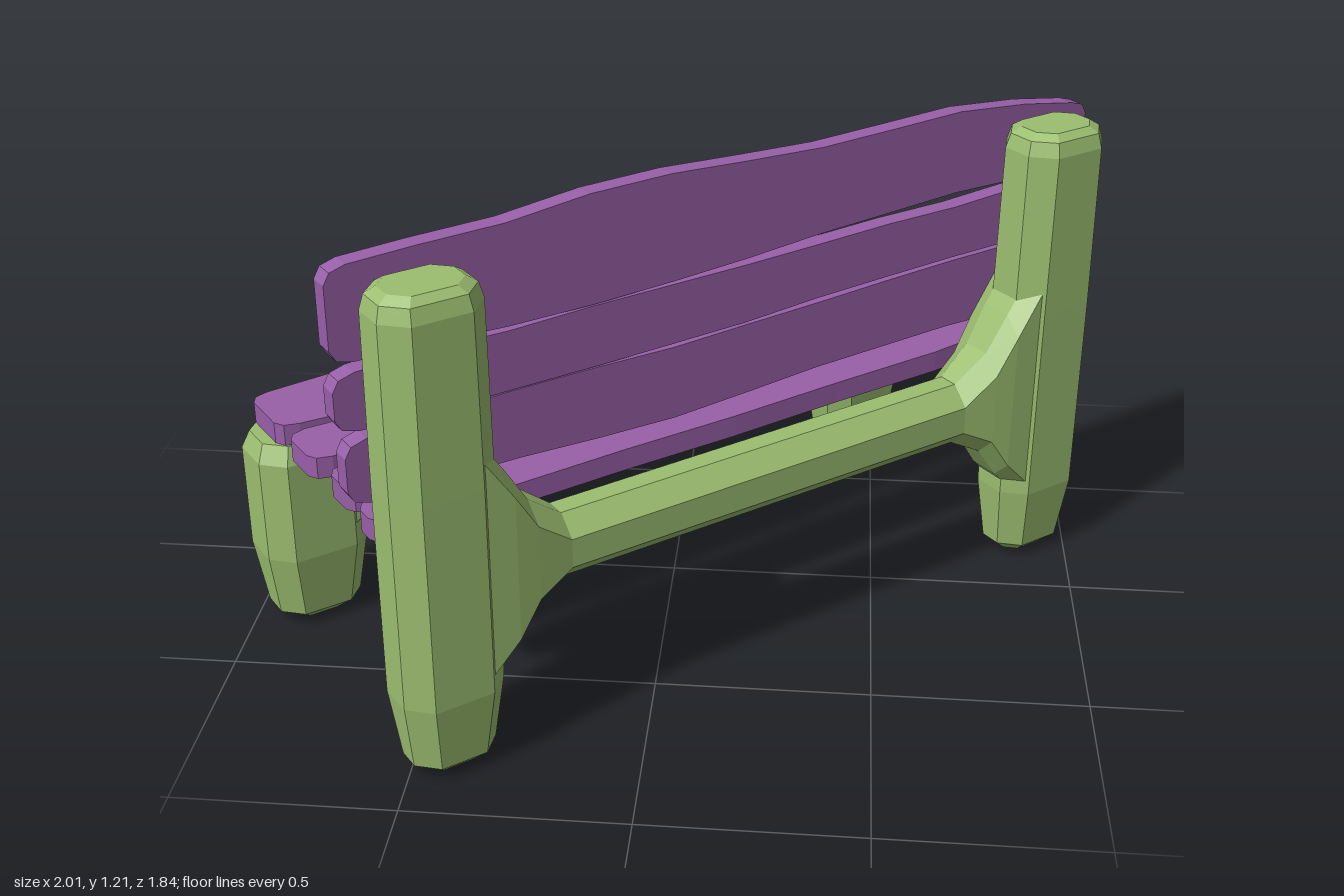
import * as THREE from 'three';

const green = new THREE.MeshStandardMaterial({ color: 0x9cbe70, flatShading: true });
const purple = new THREE.MeshStandardMaterial({ color: 0x9860a8, flatShading: true });

// Chamfered eight-sided loft along x; each section is [x, yLow, yHigh, halfDepth, chamfer]
function loft(sections) {
  const pos = [], idx = [], n = 8;
  for (const [x, lo, hi, d, c] of sections) {
    const ring = [[hi, -d + c], [hi, d - c], [hi - c, d], [lo + c, d],
      [lo, d - c], [lo, -d + c], [lo + c, -d], [hi - c, -d]];
    for (const [y, z] of ring) pos.push(x, y, z);
  }
  const last = (sections.length - 1) * n;
  for (let s = 0; s < last; s += n) {
    for (let i = 0; i < n; i++) {
      const a = s + i, b = s + (i + 1) % n;
      idx.push(a, b, b + n, a, b + n, a + n);
    }
  }
  for (let i = 1; i < n - 1; i++) idx.push(0, i + 1, i, last, last + i, last + i + 1);
  const g = new THREE.BufferGeometry();
  g.setAttribute('position', new THREE.Float32BufferAttribute(pos, 3));
  g.setIndex(idx);
  const flat = g.toNonIndexed();
  flat.computeVertexNormals();
  return flat;
}

// Upright post from [height, halfWidth, halfDepth, chamfer]
const post = (rows) => loft(rows.map(([y, w, d, c]) => [y, -w, w, d, c])).rotateZ(Math.PI / 2);

// Beam with both ends flared; rows run from the end inwards as [x, yLow, yHigh, halfDepth]
function beam(rows) {
  const left = rows.map(([x, lo, hi, d]) => [-x, lo, hi, d, 0.045]);
  const right = rows.map(([x, lo, hi, d]) => [x, lo, hi, d, 0.045]).reverse();
  return loft([...left, ...right]);
}

// Rough-cut board: upper and lower edges sampled at even steps between x0 and x1
function board(x0, x1, upper, lower, thickness) {
  const pts = [];
  const edge = (ys) => ys.map((y, i) => [x0 + (x1 - x0) * i / (ys.length - 1), y]);
  const up = edge(upper), low = edge(lower);
  const cut = 0.035;
  // clipped corners
  const clip = (e, sign) => {
    const a = e[0], b = e[e.length - 1];
    return [[a[0], a[1] + sign * cut], [a[0] + cut * 0.4, a[1] + sign * cut * 0.3], [a[0] + cut * 1.4, a[1]],
      ...e.slice(1, -1),
      [b[0] - cut * 1.4, b[1]], [b[0] - cut * 0.4, b[1] + sign * cut * 0.3], [b[0], b[1] + sign * cut]];
  };
  pts.push(...clip(low, 1), ...clip(up, -1).reverse());
  const shape = new THREE.Shape(pts.map(([x, y]) => new THREE.Vector2(x, y)));
  return new THREE.ExtrudeGeometry(shape, { depth: thickness, bevelEnabled: false });
}

export function createModel() {
  const model = new THREE.Group();
  model.name = 'bench';
  const bench = new THREE.Group();
  bench.name = 'benchBody';
  bench.rotation.y = 0.667; // the bench stands diagonally, its seat edge towards -z
  model.add(bench);

  const add = (name, geometry, material, x = 0, y = 0, z = 0) => {
    const mesh = new THREE.Mesh(geometry, material);
    mesh.name = name;
    mesh.position.set(x, y, z);
    bench.add(mesh);
  };

  // Posts and legs
  const backZ = 0.374, frontZ = -0.348;
  for (const [side, x] of [['left', 0.833], ['right', -0.833]]) {
    add(side + 'BackPost', post([
      [0, 0.06, 0.035, 0.025], [0.035, 0.1, 0.072, 0.045], [0.2, 0.12, 0.092, 0.05],
      [0.7, 0.12, 0.092, 0.05], [1.1, 0.117, 0.09, 0.05], [1.135, 0.108, 0.08, 0.045], [1.15, 0.085, 0.06, 0.035],
    ]), green, x, 0, backZ);
    add(side + 'FrontLeg', post([
      [0, 0.06, 0.04, 0.025], [0.035, 0.105, 0.08, 0.045], [0.2, 0.128, 0.102, 0.05],
      [0.46, 0.128, 0.102, 0.05], [0.505, 0.11, 0.085, 0.045],
    ]), green, x, 0, frontZ);
  }

  // Beams between them
  add('backBeam', beam([
    [0.77, 0.18, 0.82, 0.085], [0.69, 0.26, 0.7, 0.085], [0.635, 0.34, 0.61, 0.08], [0.55, 0.385, 0.545, 0.07],
  ]), green, 0, 0, backZ);
  add('frontBeam', beam([
    [0.76, 0.2, 0.5, 0.095], [0.685, 0.26, 0.5, 0.095], [0.63, 0.345, 0.5, 0.088], [0.53, 0.39, 0.5, 0.075],
  ]), green, 0, 0, frontZ);

  // Seat boards: [x0, x1, rear edge z, front edge z]
  const seat = [
    [-0.915, 0.91, [-0.26, -0.238, -0.234, -0.243, -0.25, -0.258, -0.272], [-0.45, -0.465, -0.463, -0.47, -0.466, -0.473, -0.465]],
    [-0.915, 0.92, [-0.075, -0.075, -0.088, -0.1, -0.122, -0.134, -0.15], [-0.23, -0.218, -0.216, -0.226, -0.234, -0.243, -0.255]],
    [-0.905, 0.91, [0.105, 0.108, 0.092, 0.083, 0.065, 0.056, 0.036], [-0.03, -0.042, -0.054, -0.075, -0.088, -0.102, -0.115]],
    [-0.915, 0.915, [0.25, 0.262, 0.258, 0.262, 0.256, 0.256, 0.235], [0.14, 0.128, 0.122, 0.108, 0.098, 0.083, 0.08]],
  ];
  seat.forEach(([x0, x1, rear, front], i) => {
    add('seatBoard' + (i + 1), board(x0, x1, rear, front, 0.053).rotateX(Math.PI / 2), purple, 0, 0.558, 0);
  });

  // Backrest boards: [x0, x1, top edge y, bottom edge y]
  const back = [
    [-1.0, 1.015, [1.18, 1.185, 1.187, 1.207, 1.209, 1.197, 1.187, 1.19, 1.194, 1.175, 1.15],
      [0.968, 0.965, 0.955, 0.953, 0.957, 0.965, 0.978, 0.985, 0.992, 0.986, 0.98]],
    [-1.0, 1.015, [0.945, 0.95, 0.945, 0.95, 0.95, 0.95, 0.953, 0.957, 0.955, 0.963, 0.97],
      [0.812, 0.805, 0.806, 0.805, 0.806, 0.808, 0.818, 0.822, 0.825, 0.825, 0.832]],
    [-0.985, 1.01, [0.79, 0.8, 0.804, 0.802, 0.797, 0.802, 0.806, 0.812, 0.816, 0.816, 0.81],
      [0.64, 0.642, 0.638, 0.627, 0.62, 0.628, 0.638, 0.64, 0.642, 0.635, 0.63]],
  ];
  back.forEach(([x0, x1, top, bottom], i) => {
    add('backrestBoard' + (i + 1), board(x0, x1, top, bottom, 0.045), purple, 0, 0, 0.243);
  });

  return model;
}
